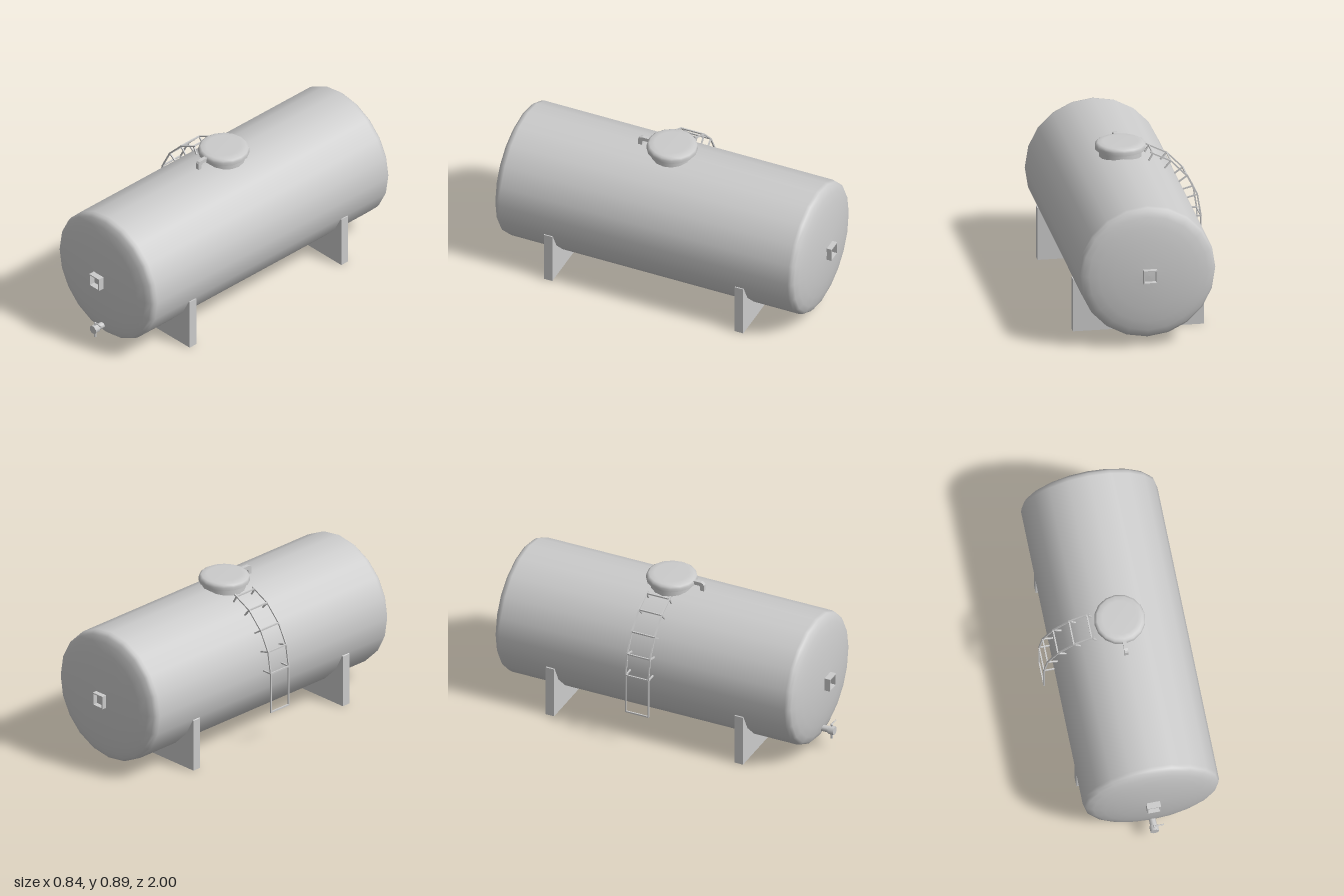
import * as THREE from 'three';

const grey = new THREE.MeshStandardMaterial({ color: 0xcccccc });
const CX = 0.03, CY = 0.437, CZ = -0.008, R = 0.387;

function add(parent, name, geometry, x = 0, y = 0, z = 0) {
  const mesh = new THREE.Mesh(geometry, grey);
  mesh.name = name;
  mesh.position.set(x, y, z);
  parent.add(mesh);
  return mesh;
}

const v2 = (pairs) => pairs.map(([x, y]) => new THREE.Vector2(x, y));

// Square bar joining two points
function bar(parent, name, a, b, w = 0.008) {
  const from = new THREE.Vector3(...a), to = new THREE.Vector3(...b);
  const mesh = add(parent, name, new THREE.BoxGeometry(w, w, from.distanceTo(to) + w * 0.5));
  mesh.position.copy(from).add(to).multiplyScalar(0.5);
  mesh.lookAt(to);
  return mesh;
}

export function createModel() {
  const model = new THREE.Group();
  model.name = 'storageTank';

  // Horizontal tank with shallow domed ends
  const end = [[0, 0.964], [0.1, 0.961], [0.2, 0.953], [0.28, 0.941], [0.335, 0.928], [0.368, 0.914], [0.382, 0.9], [R, 0.88]];
  const profile = [...end.map(([r, z]) => [r, -z]), ...end.slice().reverse()];
  const tank = add(model, 'tankShell', new THREE.LatheGeometry(v2(profile), 20), CX, CY, CZ);
  tank.rotation.x = Math.PI / 2;

  // Saddle supports, cut to the curve of the tank
  const saddle = new THREE.Shape();
  const w = 0.37, cutR = R - 0.012, top = 0.318;
  const a = Math.asin((top - CY) / cutR);
  saddle.moveTo(-w, 0);
  saddle.lineTo(w, 0);
  saddle.lineTo(w, top - 0.01);
  saddle.lineTo(cutR * Math.cos(a), top - 0.01);
  saddle.absarc(0, CY, cutR, a, -Math.PI - a, true);
  saddle.lineTo(-w, top - 0.01);
  saddle.closePath();
  const saddleGeo = new THREE.ExtrudeGeometry(saddle, { depth: 0.052, bevelEnabled: false, curveSegments: 20 });
  for (const z of [0.583, -0.585]) add(model, 'saddleSupport', saddleGeo, CX, 0, z - 0.026);

  // Square frames on both ends
  const frame = new THREE.Shape(v2([[-0.039, -0.039], [0.039, -0.039], [0.039, 0.039], [-0.039, 0.039]]));
  frame.holes.push(new THREE.Path(v2([[-0.033, -0.033], [-0.033, 0.033], [0.033, 0.033], [0.033, -0.033]])));
  const frameGeo = new THREE.ExtrudeGeometry(frame, { depth: 0.045, bevelEnabled: false });
  add(model, 'frontFrame', frameGeo, 0.027, CY, 0.945);
  add(model, 'backFrame', frameGeo, 0.027, CY, -1);

  // Filling hatch: neck, rounded lid and latch
  const hatch = new THREE.Group();
  hatch.name = 'hatch';
  hatch.position.set(CX - 0.002, 0, CZ);
  model.add(hatch);
  add(hatch, 'hatchNeck', new THREE.CylinderGeometry(0.121, 0.121, 0.08, 16), 0, 0.82, 0);
  const lid = [[0, 0.848], [0.143, 0.848], [0.143, 0.848], [0.144, 0.866], [0.14, 0.879], [0.128, 0.887], [0.1, 0.89], [0, 0.89]];
  add(hatch, 'hatchLid', new THREE.LatheGeometry(v2(lid), 16));
  const latch = new THREE.Shape(v2([
    [0.12, 0.855], [0.172, 0.855], [0.18, 0.848], [0.18, 0.825], [0.203, 0.825],
    [0.203, 0.862], [0.195, 0.873], [0.18, 0.877], [0.12, 0.877],
  ]));
  const latchMesh = add(hatch, 'hatchLatch', new THREE.ExtrudeGeometry(latch, { depth: 0.022, bevelEnabled: false }), 0.011, 0, 0);
  latchMesh.rotation.y = -Math.PI / 2;

  // Ladder following the curve of the tank
  const ladder = new THREE.Group();
  ladder.name = 'ladder';
  model.add(ladder);
  const path = [[-0.415, 0.207], [-0.415, 0.445], [-0.395, 0.572], [-0.336, 0.686], [-0.245, 0.78], [-0.13, 0.837]];
  const joints = [...path.slice(1, 5), [-0.144, 0.83]];
  const feet = [[-0.35, 0.445], [-0.335, 0.556], [-0.288, 0.652], [-0.208, 0.737], [-0.12, 0.788]];
  const rails = [-0.08, 0.06];
  for (const z of rails) {
    for (let i = 0; i < path.length - 1; i++) bar(ladder, 'ladderRail', [...path[i], z], [...path[i + 1], z]);
    joints.forEach((p, i) => bar(ladder, 'ladderBracket', [...p, z], [...feet[i], z]));
  }
  for (const p of [path[0], ...joints]) bar(ladder, 'ladderRung', [...p, rails[0]], [...p, rails[1]]);

  // Drain valve: pipe, body, spout, stem and lever
  const valve = new THREE.Group();
  valve.name = 'drainValve';
  valve.position.set(0.028, 0.121, 0);
  model.add(valve);
  const pipe = add(valve, 'valvePipe', new THREE.CylinderGeometry(0.019, 0.019, 0.1, 8), 0, 0, 0.93);
  pipe.rotation.x = Math.PI / 2;
  const body = add(valve, 'valveBody', new THREE.CylinderGeometry(0.026, 0.026, 0.034, 8), 0, 0, 0.983);
  body.rotation.set(Math.PI / 2, Math.PI / 8, 0);
  add(valve, 'valveSpout', new THREE.CylinderGeometry(0.008, 0.008, 0.04, 8), 0, -0.032, 0.981);
  add(valve, 'valveStem', new THREE.CylinderGeometry(0.004, 0.004, 0.03, 8), 0, 0.027, 0.981);
  add(valve, 'valveKnob', new THREE.SphereGeometry(0.008, 8, 6), 0, 0.036, 0.981);
  const lever = new THREE.CatmullRomCurve3([[0, 0.036], [0.018, 0.039], [0.036, 0.036], [0.055, 0.036]]
    .map(([x, y]) => new THREE.Vector3(x, y, 0.981)));
  add(valve, 'valveLever', new THREE.TubeGeometry(lever, 8, 0.004, 6));

  return model;
}
